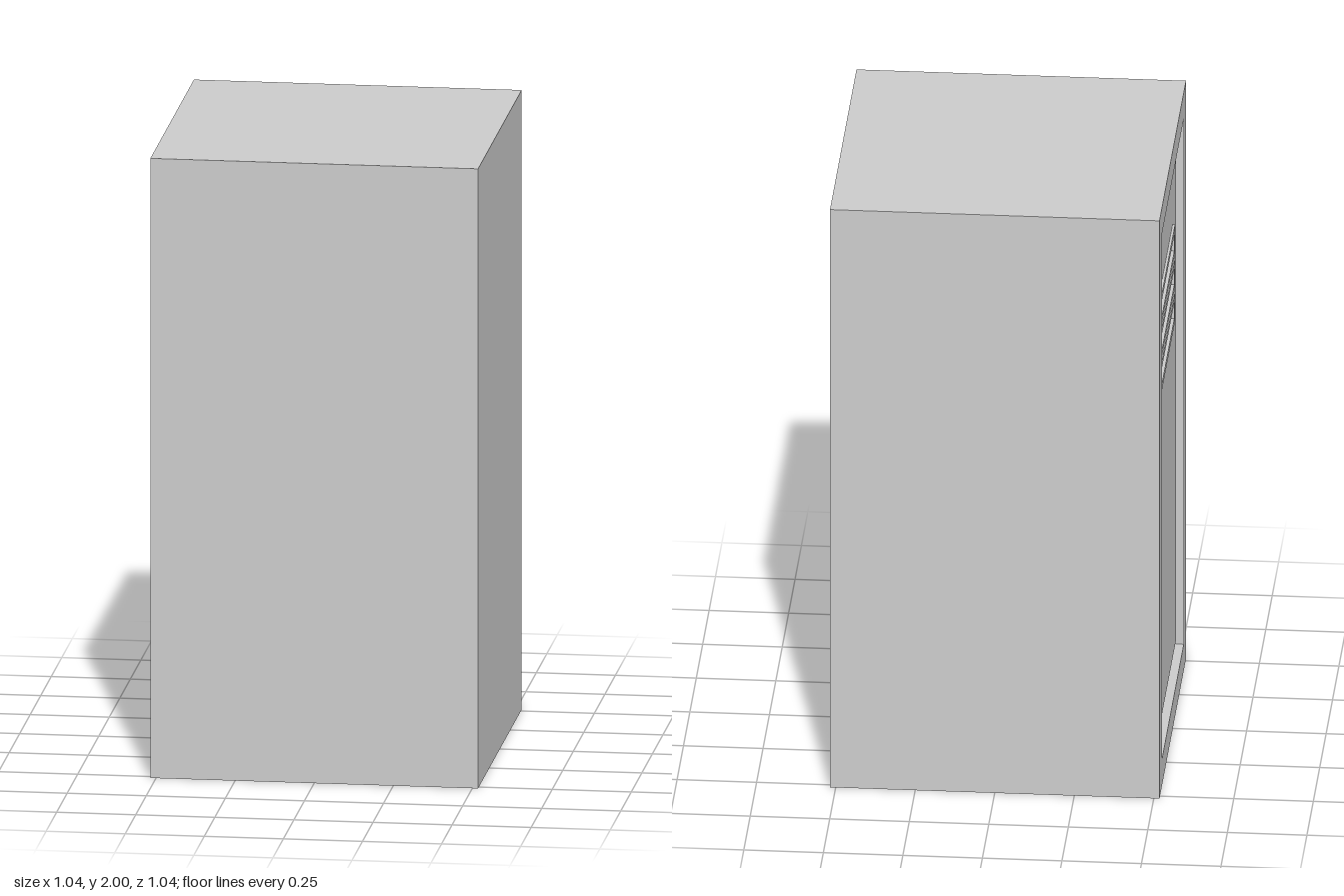
import * as THREE from 'three';

const HALF = 0.518, HEIGHT = 2, CORE = 0.06; // CORE: depth of the hollowed door side
const MID = HEIGHT / 2;

// Corner points of a rectangle centred on (z, y)
function rectPoints(z, y, w, h) {
  return [[-1, -1], [1, -1], [1, 1], [-1, 1]].map(
    ([a, b]) => new THREE.Vector2(z + a * w / 2, y + b * h / 2));
}

// Plate on the -x side with rectangular holes, spanning two depths below the face
function plate(name, outer, holes, frontDepth, backDepth, material) {
  const shape = new THREE.Shape(rectPoints(...outer));
  for (const hole of holes) shape.holes.push(new THREE.Path(rectPoints(...hole).reverse()));
  const geometry = new THREE.ExtrudeGeometry(shape, { depth: backDepth - frontDepth, bevelEnabled: false });
  geometry.rotateY(-Math.PI / 2);
  geometry.translate(-HALF + backDepth, 0, 0);
  const mesh = new THREE.Mesh(geometry, material);
  mesh.name = name;
  return mesh;
}

export function createModel() {
  const group = new THREE.Group();
  group.name = 'locker';
  const material = new THREE.MeshStandardMaterial({ color: 0xcccccc, flatShading: true });

  // Cabinet body behind the door
  const body = new THREE.Mesh(new THREE.BoxGeometry(2 * HALF - CORE, HEIGHT, 2 * HALF), material);
  body.name = 'body';
  body.position.set(CORE / 2, MID, 0);
  group.add(body);

  // Frame, recessed stop and door
  const opening = [0, MID, 0.86, 1.82];
  const doorRect = [0, MID, 0.804, 1.764];
  const ventHeights = [1.57, 1.453, 1.336];
  const slot = (y) => [0, y, 0.475, 0.056];
  group.add(plate('doorFrame', [0, MID, 2 * HALF, HEIGHT], [opening], 0, CORE, material));
  group.add(plate('doorStop', opening, [doorRect], 0.027, CORE, material));
  group.add(plate('door', doorRect, ventHeights.map(slot), 0.022, CORE, material));

  // Raised rims around the vent slots
  for (const y of ventHeights) {
    group.add(plate('ventRim', [0, y, 0.53, 0.1], [slot(y)], 0.014, 0.022, material));
  }
  return group;
}
